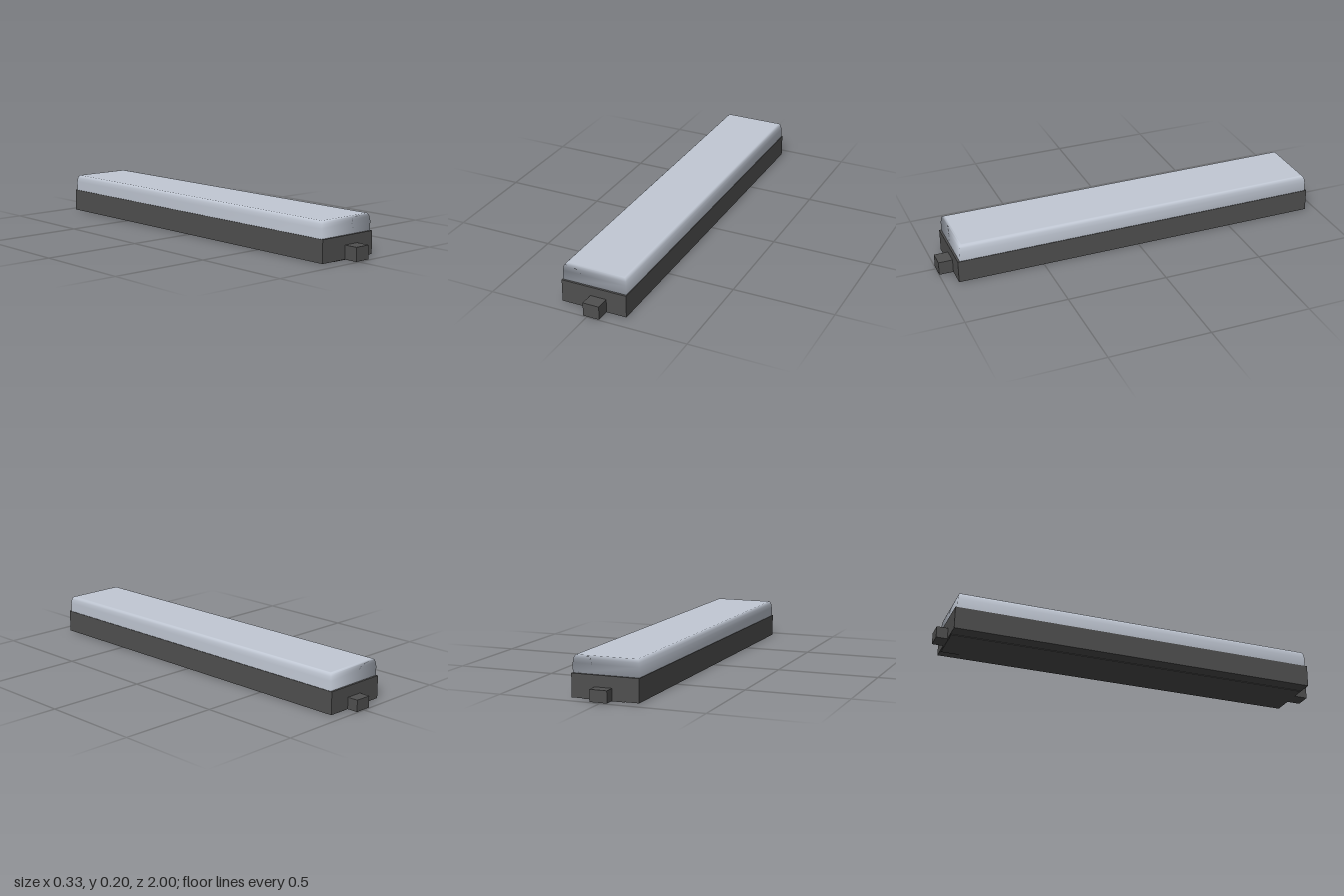
import * as THREE from 'three';

export function createModel() {
  const model = new THREE.Group();
  const housingMat = new THREE.MeshStandardMaterial({ color: 0x505050 });
  housingMat.name = 'dark grey';
  const coverMat = new THREE.MeshStandardMaterial({ color: 0xc2c9d5 });
  coverMat.name = 'pale blue grey';

  // Box given by its limits on each axis
  function addBox(name, [x0, x1], [y0, y1], [z0, z1]) {
    const mesh = new THREE.Mesh(new THREE.BoxGeometry(x1 - x0, y1 - y0, z1 - z0), housingMat);
    mesh.position.set((x0 + x1) / 2, (y0 + y1) / 2, (z0 + z1) / 2);
    mesh.name = name;
    model.add(mesh);
  }

  // Housing, thin foot plate and the end tabs
  addBox('housing', [-0.165, 0.165], [0.003, 0.114], [-0.945, 0.93]);
  addBox('footPlate', [-0.092, 0.115], [0, 0.003], [-0.94, 0.925]);
  addBox('frontTab', [-0.018, 0.064], [0.003, 0.07], [0.93, 1]);
  addBox('backTab', [-0.035, 0.05], [0.003, 0.06], [-1, -0.945]);

  // Cover: rectangular rings of [inset, height] with softly shaded edges
  const rings = [[0, 0.114], [0, 0.16], [0.003, 0.18], [0.006, 0.19], [0.012, 0.196], [0.02, 0.196]];
  const positions = [];
  const indices = [];
  for (const [inset, y] of rings) {
    const x = 0.162 - inset, back = -0.935 + inset, front = 0.92 - inset;
    positions.push(-x, y, front, x, y, front, x, y, back, -x, y, back);
  }
  for (let r = 0; r < rings.length - 1; r++) {
    for (let i = 0; i < 4; i++) {
      const a = r * 4 + i, b = r * 4 + (i + 1) % 4;
      indices.push(a, b, b + 4, a, b + 4, a + 4);
    }
  }
  const top = (rings.length - 1) * 4;
  indices.push(top, top + 1, top + 2, top, top + 2, top + 3);
  const geometry = new THREE.BufferGeometry();
  geometry.setAttribute('position', new THREE.Float32BufferAttribute(positions, 3));
  geometry.setIndex(indices);
  geometry.computeVertexNormals();
  const cover = new THREE.Mesh(geometry, coverMat);
  cover.name = 'cover';
  model.add(cover);

  return model;
}
